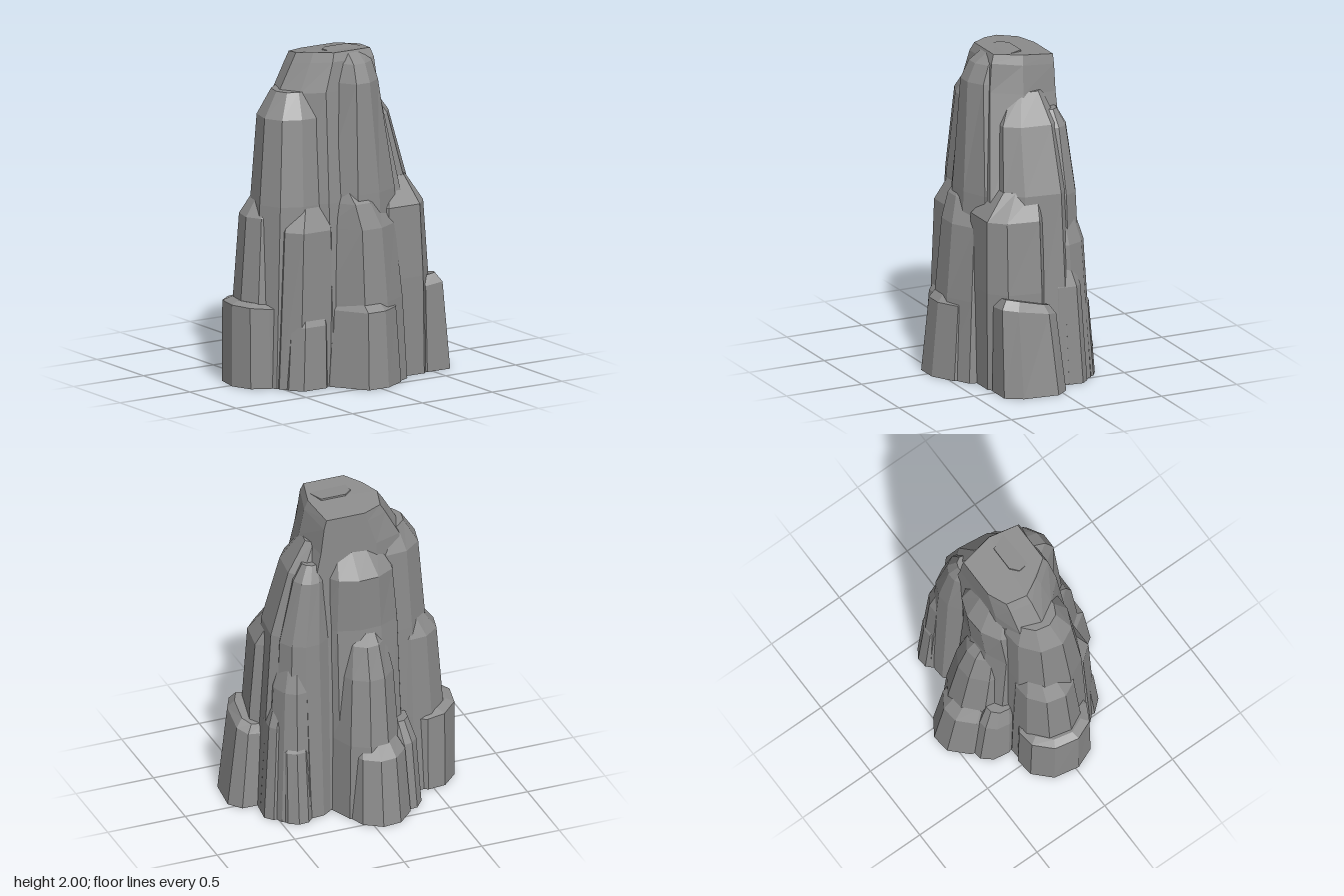
import * as THREE from 'three';

const rock = new THREE.MeshStandardMaterial({ color: 0x8c8c8c, flatShading: true });

// Faceted outlines (x, z); each level stretches one to its own bounds.
const outlines = {
  summit: [[-1, -0.1], [-0.75, 0.45], [-0.4, 1], [0.8, 1], [1, 0.1], [0.85, -1], [-0.3, -1], [-0.85, -0.75]],
  round: [[-1, 0.2], [-0.75, 0.75], [-0.25, 1], [0.35, 1], [0.85, 0.65], [1, 0], [0.7, -0.7], [0.2, -1], [-0.35, -0.95], [-0.85, -0.5]],
  front: [[-1, -0.6], [-0.95, 0.1], [-0.35, 1], [0.25, 1], [0.85, 0.65], [1, -0.1], [0.7, -1], [-0.6, -1]],
  block: [[-1, 0.5], [-0.6, 1], [0.45, 1], [0.85, 0.5], [1, -0.6], [0.6, -1], [-0.3, -1], [-0.9, -0.6]],
};

// Column of stacked cross-sections: levels are [y, xMin, xMax, zMin, zMax].
function pillar(name, outline, levels, tilt = [0, 0]) {
  const top = levels[levels.length - 1][0];
  const rings = levels.map(([y, x0, x1, z0, z1]) => outlines[outline].map(([u, v]) => {
    const dx = u * (x1 - x0) / 2, dz = v * (z1 - z0) / 2;
    const lean = (tilt[0] * dx + tilt[1] * dz) * (y / top) ** 3;
    return [(x0 + x1) / 2 + dx, Math.min(2, Math.max(0, y + lean)), (z0 + z1) / 2 + dz];
  }));
  const n = rings[0].length, position = [];
  const face = (...corners) => corners.forEach((c) => position.push(...c));
  for (let k = 0; k < rings.length - 1; k++) {
    for (let i = 0; i < n; i++) {
      const j = (i + 1) % n, a = rings[k], b = rings[k + 1];
      face(a[i], a[j], b[j]);
      face(a[i], b[j], b[i]);
    }
  }
  const last = rings[rings.length - 1];
  for (let i = 1; i < n - 1; i++) {
    face(last[0], last[i], last[i + 1]);
    face(rings[0][0], rings[0][i + 1], rings[0][i]);
  }
  const geometry = new THREE.BufferGeometry();
  geometry.setAttribute('position', new THREE.Float32BufferAttribute(position, 3));
  geometry.computeVertexNormals();
  const mesh = new THREE.Mesh(geometry, rock);
  mesh.name = name;
  return mesh;
}

export function createModel() {
  const group = new THREE.Group();
  group.name = 'rockSpire';
  group.add(
    // Summit core and the tall columns leaning on it
    pillar('summitCore', 'summit', [[0, -0.5, 0.5, -0.26, 0.36], [1.1, -0.46, 0.4, -0.2, 0.3],
      [1.75, -0.37, 0.25, -0.19, 0.24], [1.92, -0.27, 0.22, -0.19, 0.22], [1.98, -0.23, 0.2, -0.19, 0.2]], [0, 0.15]),
    pillar('frontChimney', 'front', [[0, -0.22, 0.34, 0, 0.43], [1.15, -0.21, 0.3, 0, 0.375],
      [1.82, -0.13, 0.19, 0, 0.33], [1.93, -0.1, 0.17, 0, 0.28], [1.99, -0.08, 0.16, 0, 0.2]]),
    pillar('leftShoulder', 'round', [[0, -0.6, -0.02, -0.22, 0.29], [1.1, -0.55, -0.04, -0.2, 0.26],
      [1.62, -0.5, -0.06, -0.18, 0.21], [1.77, -0.4, -0.15, -0.12, 0.13]]),
    pillar('rightShoulder', 'block', [[0, 0.05, 0.56, -0.2, 0.28], [1.18, 0.08, 0.485, -0.17, 0.24],
      [1.58, 0.05, 0.37, -0.15, 0.2], [1.76, 0.05, 0.25, -0.09, 0.1]]),
    pillar('backRightColumn', 'round', [[0, 0.1, 0.5, -0.31, 0], [1.15, 0.14, 0.45, -0.26, -0.02],
      [1.55, 0.16, 0.36, -0.22, -0.05], [1.65, 0.18, 0.3, -0.17, -0.08]]),
    pillar('backColumn', 'round', [[0, -0.34, 0.2, -0.36, 0], [1.2, -0.32, 0.19, -0.27, 0],
      [1.55, -0.28, 0.18, -0.29, 0], [1.7, -0.2, 0.14, -0.19, 0]]),

    // Middle tier
    pillar('frontMiddle', 'front', [[0, -0.25, 0.32, 0, 0.51], [0.5, -0.24, 0.3, 0, 0.48],
      [0.95, -0.21, 0.26, 0, 0.44], [1.1, -0.19, 0.17, 0, 0.39], [1.18, -0.16, 0.08, 0, 0.32]]),
    pillar('frontRightMiddle', 'block', [[0, 0.06, 0.57, 0, 0.375], [0.6, 0.07, 0.555, 0, 0.375],
      [1.04, 0.1, 0.52, 0, 0.365], [1.2, 0.22, 0.43, 0, 0.24]]),
    pillar('frontLeftMiddle', 'block', [[0, -0.52, -0.08, -0.05, 0.34], [0.95, -0.47, -0.1, -0.05, 0.32],
      [1.18, -0.36, -0.1, -0.05, 0.22]]),
    pillar('leftMiddle', 'round', [[0, -0.67, -0.2, -0.24, 0.19], [0.5, -0.645, -0.2, -0.22, 0.17],
      [1.02, -0.6, -0.22, -0.2, 0.14], [1.15, -0.5, -0.25, -0.15, 0.08]]),
    pillar('backMiddle', 'round', [[0, -0.28, 0.17, -0.47, 0], [0.48, -0.27, 0.15, -0.44, 0],
      [0.9, -0.25, 0.11, -0.38, 0], [1.1, -0.21, 0.07, -0.32, 0], [1.2, -0.17, 0.02, -0.25, 0]]),
    pillar('backRightMiddle', 'round', [[0, 0.22, 0.54, -0.33, 0], [0.85, 0.25, 0.49, -0.28, 0],
      [1.08, 0.29, 0.42, -0.21, -0.02]]),

    // Broken stumps around the foot
    pillar('frontStump', 'front', [[0, -0.24, 0.23, 0.1, 0.56], [0.46, -0.2, 0.21, 0.1, 0.52],
      [0.55, -0.17, 0.15, 0.1, 0.43]]),
    pillar('frontLeftStump', 'block', [[0, -0.49, -0.18, 0.08, 0.37], [0.38, -0.46, -0.18, 0.08, 0.35],
      [0.53, -0.4, -0.18, 0.08, 0.27]]),
    pillar('rightStump', 'block', [[0, 0.4, 0.71, -0.04, 0.36], [0.5, 0.41, 0.64, 0, 0.35],
      [0.55, 0.41, 0.6, 0.03, 0.31]], [0.15, 0.25]),
    pillar('leftStump', 'round', [[0, -0.71, -0.3, -0.25, 0.2], [0.48, -0.71, -0.3, -0.24, 0.19],
      [0.5, -0.66, -0.32, -0.19, 0.14]], [-0.1, 0]),
    pillar('backStump', 'round', [[0, -0.3, 0.12, -0.565, -0.1], [0.41, -0.28, 0.09, -0.5, -0.1],
      [0.5, -0.23, 0.05, -0.42, -0.1]]),
    pillar('backRightStump', 'round', [[0, 0.27, 0.5, -0.35, -0.1], [0.46, 0.28, 0.49, -0.31, -0.1],
      [0.58, 0.31, 0.43, -0.25, -0.1]]),
    pillar('rightSpur', 'block', [[0, 0.36, 0.57, -0.24, 0], [0.6, 0.36, 0.53, -0.21, 0],
      [0.75, 0.36, 0.48, -0.17, 0]]),
    pillar('backLeftStump', 'round', [[0, -0.39, -0.18, -0.43, -0.15], [0.42, -0.37, -0.18, -0.38, -0.15],
      [0.55, -0.33, -0.18, -0.32, -0.15]]),
  );
  return group;
}
